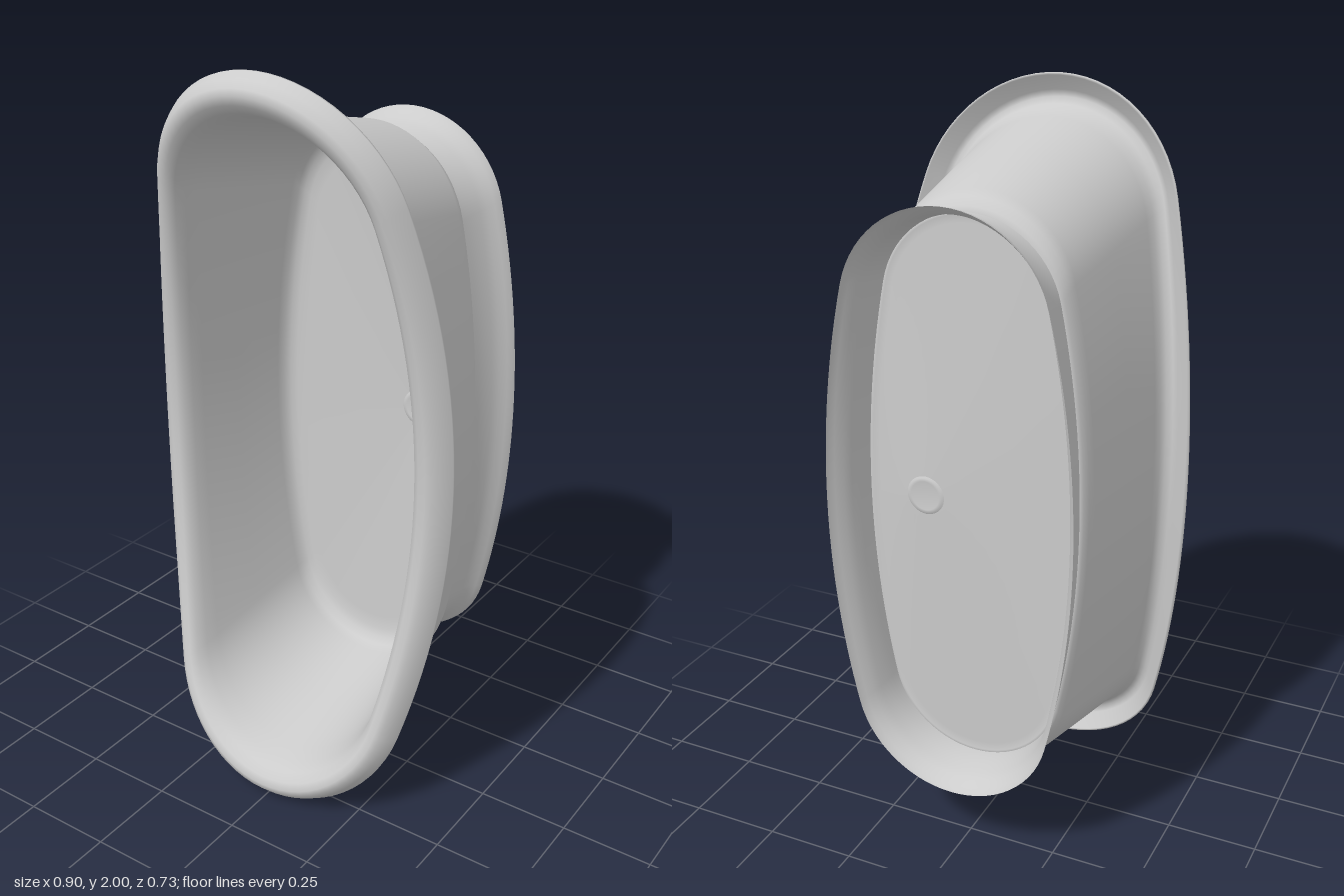
import * as THREE from 'three';

const material = new THREE.MeshStandardMaterial({ color: 0xcccccc });
const openMaterial = new THREE.MeshStandardMaterial({ color: 0xcccccc, side: THREE.DoubleSide });
const QUARTER = 28; // segments per quarter of an outline
const DRAIN_X = 0.125;

// Point on an oval of gently bowed sides and round end caps that meet tangentially; s runs 0 to 4
function ovalPoint(a, b, s) {
  const cap = 0.82 * a;
  const c = b - cap;
  const side = (a * a + c * c - cap * cap) / (2 * (a - cap));
  const join = Math.atan2(c, side - a);
  const quadrant = Math.floor(s);
  const f = quadrant % 2 ? 1 - (s - quadrant) : s - quadrant;
  let x, y;
  if (f < 0.5) {
    const t = join * f * 2;
    x = a - side + side * Math.cos(t);
    y = side * Math.sin(t);
  } else {
    const t = join + (Math.PI / 2 - join) * (f * 2 - 1);
    x = cap * Math.cos(t);
    y = c + cap * Math.sin(t);
  }
  return [quadrant === 1 || quadrant === 2 ? -x : x, quadrant > 1 ? -y : y];
}

// Lofts oval rings; each row is [half width, half height, z, rise of z towards the ends, centre x]
function loftOvals(rows) {
  const count = QUARTER * 4;
  const positions = [];
  const indices = [];
  for (const [a, b, z, rise = 0, cx = 0] of rows) {
    for (let j = 0; j < count; j++) {
      const [x, y] = ovalPoint(a, b, j / QUARTER);
      positions.push(cx + x, 1 + y, z + rise * (y / b) ** 2);
    }
  }
  for (let i = 0; i < rows.length - 1; i++) {
    for (let j = 0; j < count; j++) {
      const k = (j + 1) % count;
      const p = i * count;
      const q = p + count;
      indices.push(p + j, p + k, q + k, p + j, q + k, q + j);
    }
  }
  const geometry = new THREE.BufferGeometry();
  geometry.setAttribute('position', new THREE.Float32BufferAttribute(positions, 3));
  geometry.setIndex(indices);
  geometry.computeVertexNormals();
  return geometry;
}

function addMesh(group, name, geometry, mat = material) {
  const mesh = new THREE.Mesh(geometry, mat);
  mesh.name = name;
  group.add(mesh);
  return mesh;
}

export function createModel() {
  const group = new THREE.Group();
  group.name = 'bathtub';

  // Tub shell: underside sloping to the drain, outer wall, flared rim, inner wall, floor
  addMesh(group, 'tubShell', loftOvals([
    [0.001, 0.002, -0.237, 0, DRAIN_X],
    [0.06, 0.07, -0.237, 0, DRAIN_X],
    [0.27, 0.725, -0.216],
    [0.288, 0.746, -0.219],
    [0.296, 0.753, -0.22],
    [0.304, 0.765, -0.213],
    [0.311, 0.785, -0.195],
    [0.316, 0.8, -0.17],
    [0.338, 0.85, 0.0, 0.055],
    [0.358, 0.895, 0.145, 0.125],
    [0.364, 0.905, 0.17, 0.135],
    [0.375, 0.918, 0.184, 0.148],
    [0.392, 0.935, 0.19, 0.155],
    [0.408, 0.953, 0.183, 0.16],
    [0.445, 0.994, 0.147, 0.165],
    [0.451, 1.0, 0.148, 0.165],
    [0.452, 1.0, 0.154, 0.165],
    [0.435, 0.985, 0.179, 0.165],
    [0.417, 0.967, 0.196, 0.166],
    [0.4, 0.95, 0.203, 0.163],
    [0.38, 0.928, 0.201, 0.158],
    [0.363, 0.907, 0.19, 0.145],
    [0.353, 0.893, 0.165, 0.13],
    [0.346, 0.88, 0.13, 0.115],
    [0.328, 0.838, 0.0, 0.055],
    [0.306, 0.792, -0.155],
    [0.3, 0.78, -0.178],
    [0.288, 0.762, -0.193],
    [0.27, 0.738, -0.201],
    [0.24, 0.7, -0.205],
    [0.06, 0.07, -0.228, 0, DRAIN_X],
    [0.001, 0.002, -0.228, 0, DRAIN_X],
  ]));

  // Open flared plinth behind the tub floor
  addMesh(group, 'plinthSkirt', loftOvals([
    [0.341, 0.797, -0.367],
    [0.337, 0.795, -0.357],
    [0.329, 0.787, -0.345],
    [0.315, 0.773, -0.325],
    [0.306, 0.764, -0.3],
    [0.3, 0.758, -0.27],
    [0.297, 0.753, -0.245],
    [0.296, 0.752, -0.22],
  ]), openMaterial);

  // Shallow drain fittings on both faces of the floor
  const drainProfile = [[0.056, -0.002], [0.048, 0.003], [0.04, 0.004], [0.03, 0.001], [0, 0.001]];
  const drainPoints = drainProfile.map(([r, y]) => new THREE.Vector2(r, y));
  for (const [name, z, facing] of [['drainInside', -0.228, 1], ['drainOutside', -0.237, -1]]) {
    const drain = addMesh(group, name, new THREE.LatheGeometry(drainPoints, 40));
    drain.position.set(DRAIN_X, 1.005, z);
    drain.rotation.x = facing * Math.PI / 2;
  }

  return group;
}
